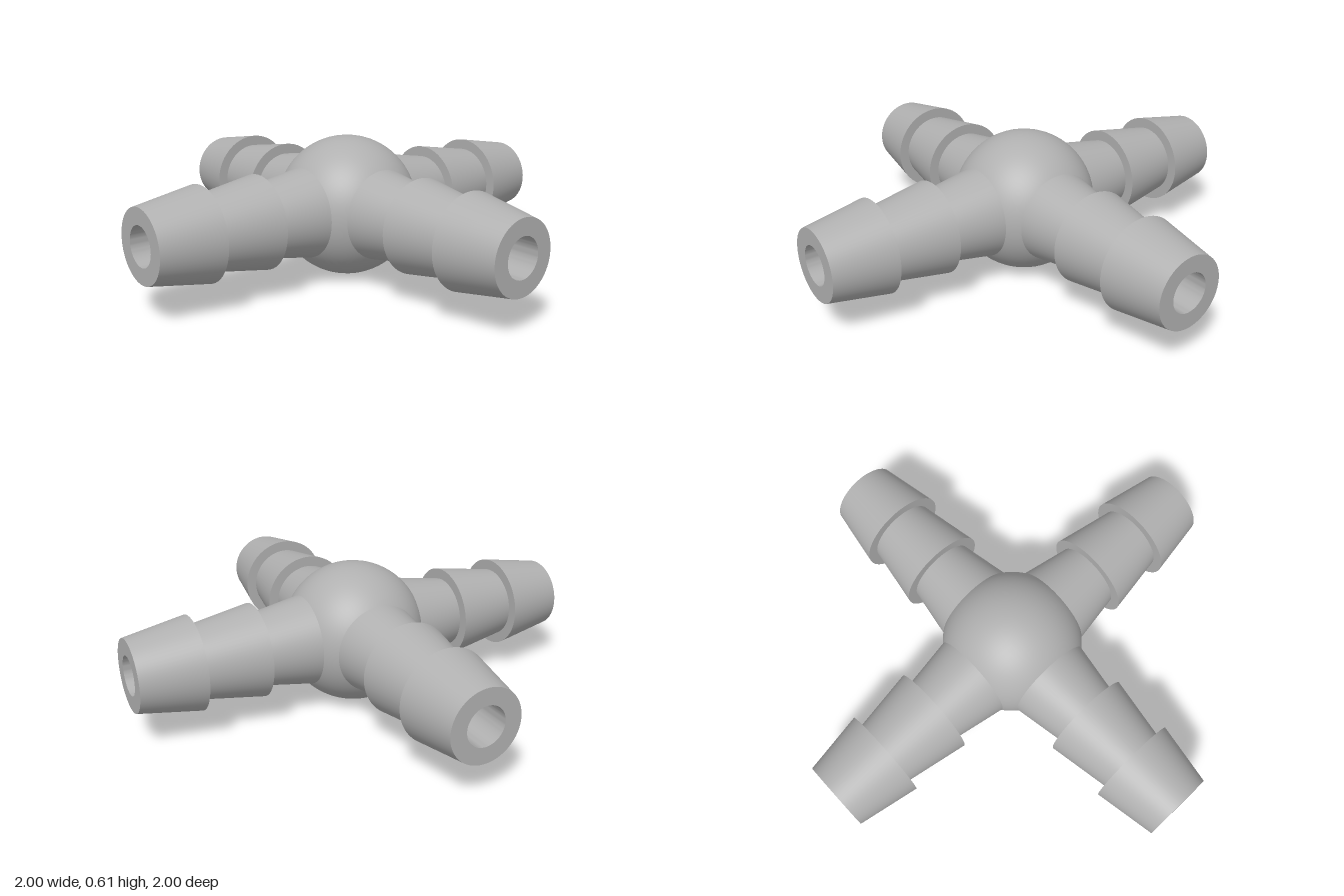
import * as THREE from 'three';
import { toCreasedNormals } from 'three/addons/utils/BufferGeometryUtils.js';

const SEG = 64;
const R = 0.305;        // hub radius, also the height of the centre
const NECK = 0.192;     // arm radius where it leaves the hub
const BORE = 0.083;
const NECK_Z = Math.sqrt(R * R - NECK * NECK);

// Barbed hose arm along +z with its bore, mitred where the bores cross
function armGeometry() {
  const profile = [
    [NECK, NECK_Z], [0.153, 0.463], [0.199, 0.463], [0.153, 0.735],
    [0.199, 0.735], [0.153, 1], [BORE, 1], [BORE, 0],
  ];
  // The neck flares towards the hub; each barb flares away from the tip
  const points = profile.map(([r, z]) => new THREE.Vector2(r, z));
  const geo = new THREE.LatheGeometry(points, SEG);
  geo.rotateX(Math.PI / 2);
  const pos = geo.attributes.position;
  for (let i = 0; i < pos.count; i++) {
    if (pos.getZ(i) < 0.1) pos.setZ(i, Math.abs(pos.getX(i)));
  }
  return toCreasedNormals(geo, 0.6);
}

// Quarter of the spherical hub around +z, from the neck circle to the seams
function hubGeometry() {
  const rings = 14;
  const start = Math.asin(NECK / R);
  const positions = [], normals = [], index = [];
  for (let i = 0; i <= SEG; i++) {
    const a = (i / SEG) * Math.PI * 2;
    const end = Math.atan2(1, Math.abs(Math.cos(a)));
    for (let j = 0; j <= rings; j++) {
      const t = THREE.MathUtils.lerp(start, end, j / rings);
      const n = [Math.sin(t) * Math.cos(a), Math.sin(t) * Math.sin(a), Math.cos(t)];
      normals.push(...n);
      positions.push(...n.map((v) => v * R));
      if (i < SEG && j < rings) {
        const p = i * (rings + 1) + j, q = p + rings + 1;
        index.push(p, p + 1, q, q, p + 1, q + 1);
      }
    }
  }
  const geo = new THREE.BufferGeometry();
  geo.setAttribute('position', new THREE.Float32BufferAttribute(positions, 3));
  geo.setAttribute('normal', new THREE.Float32BufferAttribute(normals, 3));
  geo.setIndex(index);
  return geo;
}

export function createModel() {
  const model = new THREE.Group();
  model.name = 'crossHoseConnector';
  const grey = new THREE.MeshStandardMaterial({ color: 0xb0b0b0 });
  grey.name = 'grey plastic';

  const arm = armGeometry();
  const hub = hubGeometry();

  // Four identical quarters around the vertical axis
  ['front', 'left', 'back', 'right'].forEach((side, i) => {
    const quarter = new THREE.Group();
    quarter.name = side + 'Quarter';
    const armMesh = new THREE.Mesh(arm, grey);
    armMesh.name = side + 'BarbedArm';
    const hubMesh = new THREE.Mesh(hub, grey);
    hubMesh.name = side + 'HubShell';
    quarter.add(armMesh, hubMesh);
    quarter.rotation.y = (i * Math.PI) / 2;
    quarter.position.y = R;
    model.add(quarter);
  });
  return model;
}
